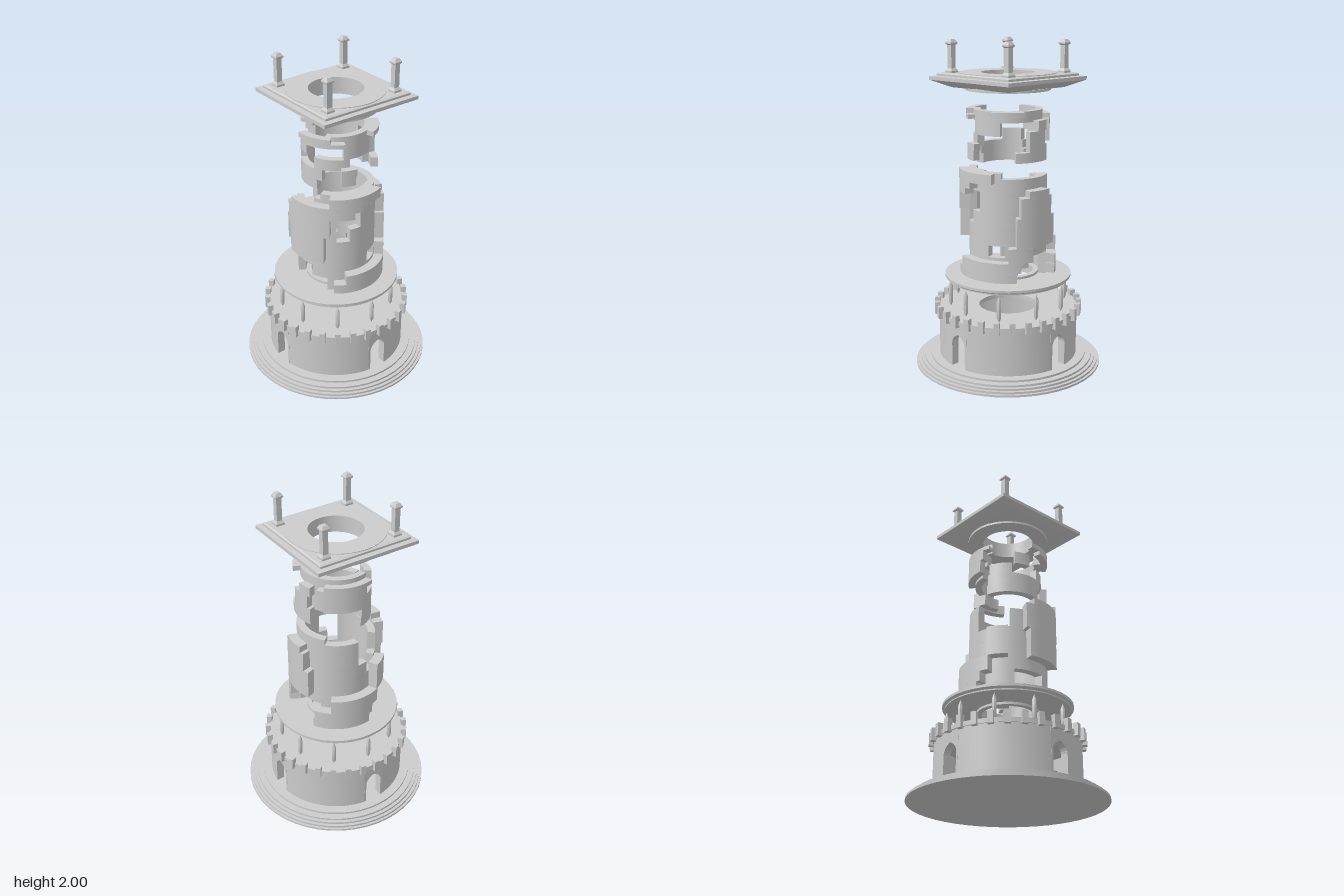
import * as THREE from 'three';
import { toCreasedNormals } from 'three/addons/utils/BufferGeometryUtils.js';

const mat = new THREE.MeshStandardMaterial({ color: 0xcccccc, side: THREE.DoubleSide });
const rad = THREE.MathUtils.degToRad;

function add(parent, name, geo) {
  const mesh = new THREE.Mesh(geo, mat);
  mesh.name = name;
  parent.add(mesh);
  return mesh;
}

// Revolved profile, bottom to top on the outside; 4 sides give a square
function turned(points, sides = 40) {
  const k = sides === 4 ? Math.SQRT2 : 1;
  const pts = points.map(([r, y]) => new THREE.Vector2(r * k, y));
  const geo = new THREE.LatheGeometry(pts, sides, sides === 4 ? Math.PI / 4 : 0);
  return toCreasedNormals(geo, 0.5);
}

const ring = (r0, r1, y0, y1) => turned([[r0, y0], [r1, y0], [r1, y1], [r0, y1], [r0, y0]]);

// Curved wall block; angles in degrees from the front towards +x
function wallBlock(r0, r1, y0, y1, a0, a1) {
  const s = new THREE.Shape();
  const a = rad(a0 - 90), b = rad(a1 - 90);
  s.absarc(0, 0, r1, a, b, false);
  s.absarc(0, 0, r0, b, a, true);
  s.closePath();
  const curveSegments = Math.max(2, Math.ceil((a1 - a0) / 8));
  const geo = new THREE.ExtrudeGeometry(s, { depth: y1 - y0, bevelEnabled: false, curveSegments });
  geo.rotateX(-Math.PI / 2).translate(0, y0, 0);
  return toCreasedNormals(geo, 0.5);
}

// Rows of broken masonry: [y0, y1, [start, end], ...]
function masonry(parent, name, r0, r1, rows) {
  const g = new THREE.Group();
  g.name = name;
  for (const [y0, y1, ...arcs] of rows)
    for (const [a0, a1] of arcs) add(g, 'wallBlock', wallBlock(r0, r1, y0, y1, a0, a1));
  parent.add(g);
}

// Flat wall panel pierced by a pointed arch
function doorPanel() {
  const s = new THREE.Shape();
  s.moveTo(-0.07, 0.06);
  s.lineTo(-0.055, 0.06);
  s.lineTo(-0.055, 0.21);
  s.quadraticCurveTo(-0.05, 0.25, 0, 0.27);
  s.quadraticCurveTo(0.05, 0.25, 0.055, 0.21);
  s.lineTo(0.055, 0.06);
  s.lineTo(0.07, 0.06);
  s.lineTo(0.07, 0.34);
  s.lineTo(-0.07, 0.34);
  s.closePath();
  const geo = new THREE.ExtrudeGeometry(s, { depth: 0.05, bevelEnabled: false, curveSegments: 5 });
  return geo.translate(0, 0, 0.375);
}

export function createModel() {
  const model = new THREE.Group();
  model.name = 'ruinedTower';

  // Stepped round base
  const steps = [0.58, 0.565, 0.547, 0.527, 0.487];
  const profile = [[0, 0]];
  steps.forEach((r, i) => profile.push([r, i * 0.0125], [r, (i + 1) * 0.0125]));
  profile.push([0, 0.0625]);
  add(model, 'steppedBase', turned(profile, 48));

  // Hollow drum with four arched doorways
  for (let i = 0; i < 4; i++) {
    add(model, 'doorway', doorPanel()).rotation.y = i * Math.PI / 2;
    add(model, 'drumWall', wallBlock(0.38, 0.43, 0.06, 0.34, i * 90 + 9.3, i * 90 + 80.7));
  }
  add(model, 'drumRoof', ring(0.18, 0.437, 0.335, 0.362));

  // Battlements
  for (let i = 0; i < 30; i++) {
    const a = rad(i * 12);
    const m = add(model, 'merlon', new THREE.BoxGeometry(0.033, 0.075, 0.033));
    m.position.set(0.442 * Math.sin(a), 0.363, 0.442 * Math.cos(a));
    m.rotation.y = a;
  }

  // Ten stakes, pointed at both ends
  const stake = turned([[0, 0.37], [0.013, 0.395], [0.013, 0.5], [0, 0.535]], 8);
  for (let i = 0; i < 10; i++) {
    const a = rad(i * 36);
    add(model, 'stake', stake).position.set(0.36 * Math.sin(a), 0, 0.36 * Math.cos(a));
  }

  // Gallery plate carrying the tower
  add(model, 'galleryPlate', turned([[0.18, 0.545], [0.375, 0.545], [0.375, 0.552],
    [0.39, 0.562], [0.39, 0.577], [0.18, 0.577], [0.18, 0.545]]));
  add(model, 'galleryCollar', ring(0.155, 0.187, 0.53, 0.592));

  // Lower tower: inner wall and outer facing
  masonry(model, 'lowerInnerWall', 0.19, 0.237, [
    [0.575, 0.66, [-50, 46], [123, 237]],
    [0.66, 0.73, [-75, 76], [123, 237]],
    [0.73, 0.80, [-80, 15], [40, 140], [165, 280]],
    [0.80, 0.92, [-80, 280]],
    [0.92, 1.0, [-17, 197], [217, 323]],
    [1.0, 1.12, [0, 180], [231, 323]],
    [1.12, 1.17, [-90, 180]],
    [1.17, 1.205, [-70, 130]],
    [1.205, 1.24, [-60, 35]],
  ]);
  masonry(model, 'lowerOuterFacing', 0.235, 0.296, [
    [0.59, 0.65, [-40, 55], [118, 190]],
    [0.65, 0.71, [-25, 60], [120, 195]],
    [0.71, 0.80, [45, 75], [140, 205]],
    [0.80, 0.98, [55, 112], [203, 228], [-105, -52]],
    [0.98, 1.1, [60, 105], [-110, -45]],
    [1.1, 1.14, [70, 100], [-110, -15]],
    [1.14, 1.18, [-100, -5]],
    [1.18, 1.24, [-45, 25]],
  ]);

  // Upper tower: inner wall and outer facing
  masonry(model, 'upperInnerWall', 0.165, 0.207, [
    [1.25, 1.31, [190, 290]],
    [1.31, 1.38, [192, 300], [70, 110]],
    [1.38, 1.45, [-75, -15], [85, 180], [195, 235]],
    [1.45, 1.53, [-25, 32], [90, 190], [240, 268]],
    [1.53, 1.595, [-55, 200]],
  ]);
  masonry(model, 'upperOuterFacing', 0.205, 0.25, [
    [1.30, 1.36, [55, 110], [-30, -10]],
    [1.36, 1.40, [75, 110], [-30, -8]],
    [1.40, 1.48, [75, 105], [130, 185]],
    [1.48, 1.54, [90, 110], [120, 190]],
    [1.54, 1.565, [-80, -25], [130, 200]],
    [1.565, 1.595, [-95, -45], [20, 68]],
  ]);

  // Square roof platform with sloping underside and a round well
  add(model, 'roofPlatform', turned([[0.17, 1.718], [0.235, 1.718], [0.33, 1.762], [0.33, 1.783],
    [0.298, 1.786], [0.298, 1.798], [0.288, 1.804], [0.17, 1.804], [0.17, 1.718]], 4));
  add(model, 'roofLowerRing', ring(0.16, 0.255, 1.705, 1.72));
  add(model, 'roofWell', ring(0.16, 0.29, 1.785, 1.808));
  add(model, 'wellLining', ring(0.16, 0.245, 1.715, 1.79));

  // Corner pinnacles
  const pinnacle = turned([[0.027, 1.80], [0.027, 1.815], [0.017, 1.83], [0.017, 1.965],
    [0.025, 1.972], [0.025, 1.98], [0.014, 1.998], [0, 2.0]], 4);
  for (const x of [-0.235, 0.235])
    for (const z of [-0.235, 0.235]) add(model, 'pinnacle', pinnacle).position.set(x, 0, z);

  return model;
}
